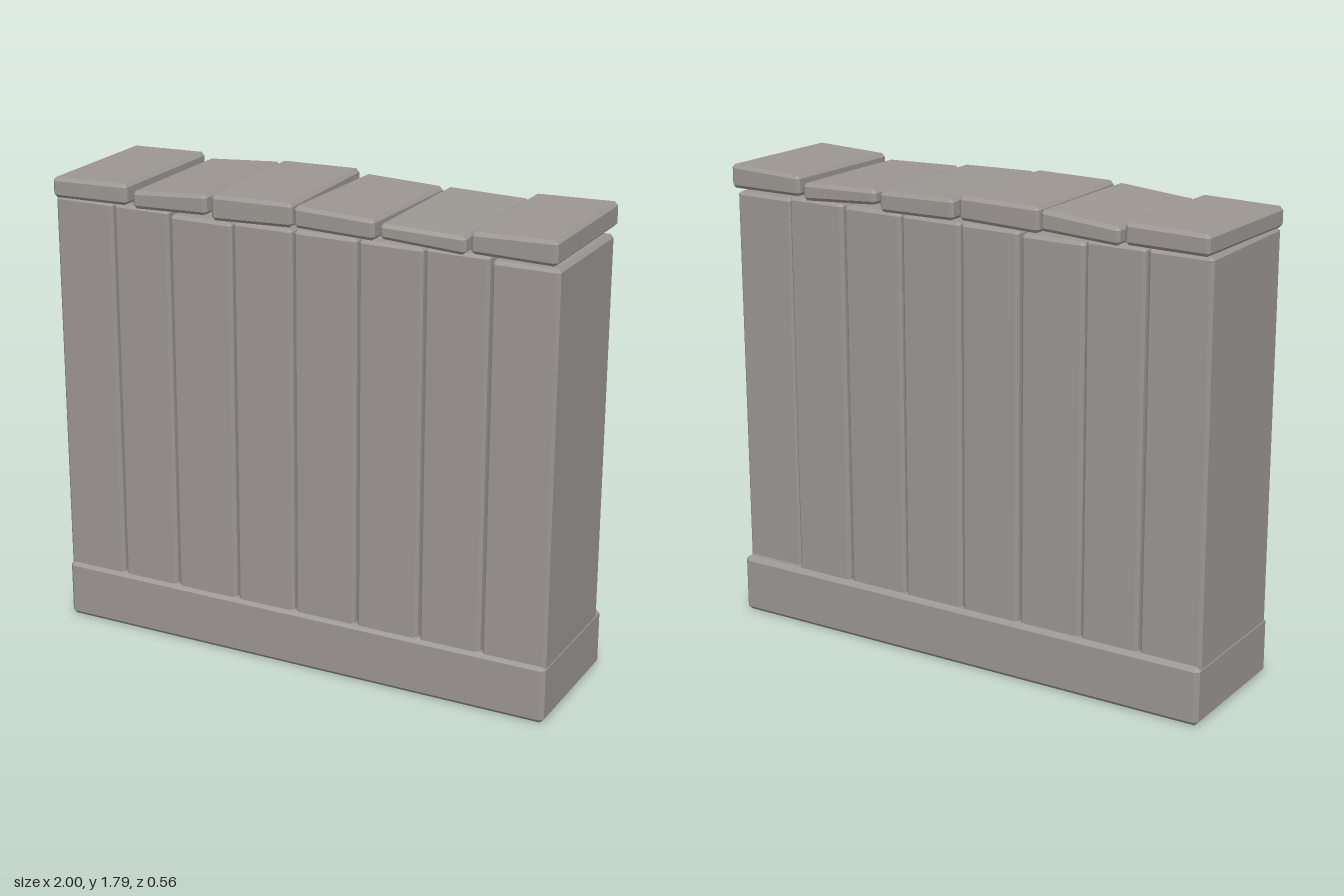
import * as THREE from 'three';
import { ConvexGeometry } from 'three/addons/geometries/ConvexGeometry.js';

// Block with chamfered edges; corner(sx, sy, sz) returns each outer corner.
function chamferedBlock(corner, bevel) {
  const points = [];
  for (const sx of [-1, 1]) for (const sy of [-1, 1]) for (const sz of [-1, 1]) {
    const c = corner(sx, sy, sz);
    const dx = -sx * bevel, dy = -sy * bevel, dz = -sz * bevel;
    points.push(
      new THREE.Vector3(c[0], c[1] + dy, c[2] + dz),
      new THREE.Vector3(c[0] + dx, c[1], c[2] + dz),
      new THREE.Vector3(c[0] + dx, c[1] + dy, c[2]),
    );
  }
  return new ConvexGeometry(points);
}

const straightBlock = (x0, x1, y0, y1, z0, z1, bevel) => chamferedBlock(
  (sx, sy, sz) => [sx < 0 ? x0 : x1, sy < 0 ? y0 : y1, sz < 0 ? z0 : z1], bevel);

export function createModel() {
  const group = new THREE.Group();
  const stone = new THREE.MeshStandardMaterial({ color: 0x9b9692, flatShading: true });
  stone.name = 'warm grey stone';

  const add = (name, geometry) => {
    const mesh = new THREE.Mesh(geometry, stone);
    mesh.name = name;
    group.add(mesh);
  };

  // Plinth and the inner core that closes the grooves
  add('base', straightBlock(-1, 1, 0, 0.225, -0.28, 0.28, 0.016));
  const core = new THREE.BoxGeometry(1.92, 1.57, 0.45);
  core.translate(0, 0.885, 0);
  add('core', core);

  // Upright slabs: shared edges, top heights and back faces
  const edges = [-0.998, -0.75, -0.512, -0.252, -0.007, 0.247, 0.5, 0.747, 0.998];
  const tops = [1.695, 1.695, 1.682, 1.69, 1.69, 1.69, 1.695, 1.682];
  const backs = [-0.26, -0.262, -0.258, -0.262, -0.26, -0.258, -0.26, -0.242];
  tops.forEach((top, i) => {
    const x0 = edges[i] + (i > 0 ? 0.004 : 0);
    const x1 = edges[i + 1] - (i < 7 ? 0.004 : 0);
    add(`slab${i + 1}`, straightBlock(x0, x1, 0.2, top, backs[i], 0.267, 0.012));
  });

  // Uneven capstones: x0, x1, bottom left/right, top left/right, sideways skew, back rise
  const caps = [
    [-0.995, -0.68, 1.693, 1.697, 1.77, 1.776, 0.006, 0.003],
    [-0.658, -0.345, 1.69, 1.702, 1.756, 1.778, 0.003, 0.002],
    [-0.332, -0.01, 1.69, 1.7, 1.784, 1.788, -0.003, 0.003],
    [0.006, 0.322, 1.698, 1.692, 1.777, 1.768, 0.006, -0.002],
    [0.341, 0.66, 1.708, 1.69, 1.764, 1.756, 0.004, 0.003],
    [0.677, 0.994, 1.7, 1.697, 1.778, 1.787, 0.004, 0.004],
  ];
  caps.forEach(([x0, x1, b0, b1, t0, t1, skew, rise], i) => {
    add(`capstone${i + 1}`, chamferedBlock((sx, sy, sz) => [
      (sx < 0 ? x0 : x1) - sz * skew,
      (sy < 0 ? (sx < 0 ? b0 : b1) : (sx < 0 ? t0 : t1)) - sz * rise,
      sz * 0.278 + sx * (i % 2 ? 0.003 : -0.003),
    ], 0.013));
  });
  return group;
}
